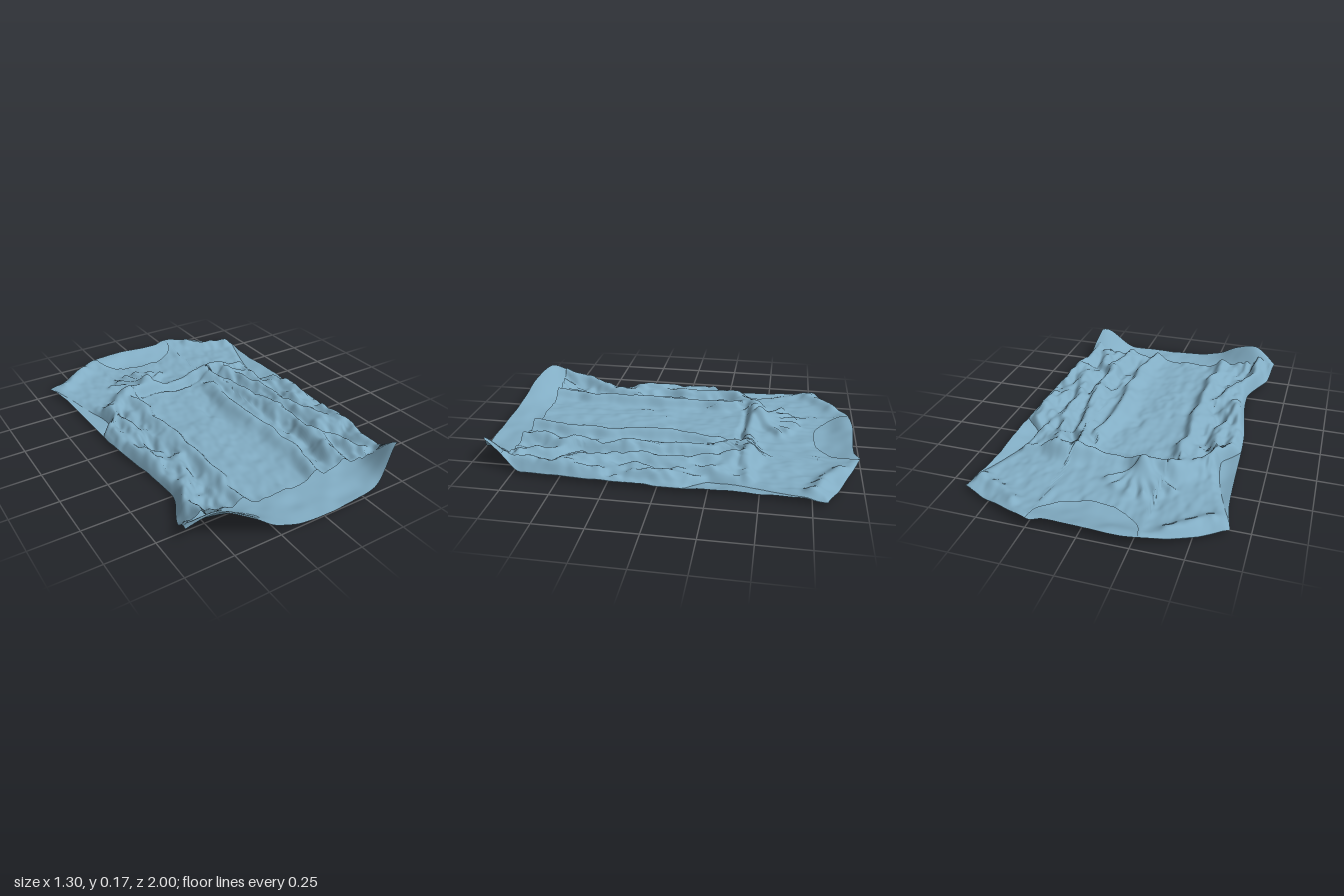
import * as THREE from 'three';

const { clamp, lerp, smoothstep } = THREE.MathUtils;
const bump = (t, width) => Math.exp(-((t / width) ** 2));

// Smooth curve through a few [position, value] pairs
function profile(points) {
  const n = points.length;
  const slope = (i) => {
    const a = points[Math.max(i - 1, 0)], b = points[Math.min(i + 1, n - 1)];
    return (b[1] - a[1]) / (b[0] - a[0]);
  };
  return (at) => {
    const t = clamp(at, points[0][0], points[n - 1][0]);
    let i = 0;
    while (i < n - 2 && t > points[i + 1][0]) i++;
    const [x0, y0] = points[i], [x1, y1] = points[i + 1], d = x1 - x0, k = (t - x0) / d;
    const ease = k * k * (3 - 2 * k);
    return lerp(y0, y1, ease) + d * k * (1 - k) * (slope(i) * (1 - k) - slope(i + 1) * k);
  };
}

// Seeded value noise for cloth wrinkles
function hash(i, j) {
  const s = Math.sin(i * 127.1 + j * 311.7) * 43758.5453;
  return s - Math.floor(s);
}
function noise(x, z) {
  const i = Math.floor(x), j = Math.floor(z), a = smoothstep(x - i, 0, 1), b = smoothstep(z - j, 0, 1);
  return lerp(lerp(hash(i, j), hash(i + 1, j), a), lerp(hash(i, j + 1), hash(i + 1, j + 1), a), b) - 0.5;
}

// Outlines: side edges by z, shoulder and hem edges by x
const backLeft = profile([[-0.78, -0.655], [-0.6, -0.62], [0, -0.59], [0.5, -0.53], [0.7, -0.615], [0.83, -0.645]]);
const backRight = profile([[-0.82, 0.65], [-0.6, 0.625], [0, 0.63], [0.6, 0.6], [0.9, 0.54]]);
const backTop = profile([[-0.655, -0.78], [-0.28, -0.97], [0.17, -0.97], [0.24, -0.995], [0.65, -0.82]]);
const backHem = profile([[-0.645, 0.83], [-0.35, 0.965], [-0.15, 1], [0.1, 1], [0.35, 0.975], [0.56, 0.89]]);

// The front panel is cut in at the armholes and scooped at the neck
const armhole = (z) => 0.09 * smoothstep(z, -0.8, -0.25) * (1 - smoothstep(z, -0.25, -0.12));
const frontLeft = (z) => backLeft(z) + armhole(z);
const frontRight = (z) => backRight(z) - 1.2 * armhole(z);
const inNeck = (x) => Math.abs(x + 0.015) < 0.26;
const frontTop = (x) => (inNeck(x) ? -0.97 + 0.205 * Math.sqrt(1 - ((x + 0.015) / 0.26) ** 2) : backTop(x));
const frontHem = (x) => 0.79 + 0.02 * smoothstep(Math.abs(x), 0.3, 0.6);

// Back panel: almost flat, with both hem corners curling up
function backHeight(x, z) {
  const corners = 0.16 * bump(x + 0.51, x < -0.51 ? 0.14 : 0.22) + 0.155 * bump(x - 0.53, 0.12);
  const curl = corners * smoothstep(z, 0.7, backHem(x) + 0.01);
  const neck = 0.045 * smoothstep(-z, 0.82, 1);
  const sides = 0.02 * smoothstep(Math.abs(x), 0.52, 0.64);
  return 0.009 + curl + neck + sides + 0.012 * noise(x * 14, z * 14);
}

// Long pleats: x and z at the upper end, x and z at the lower end, height
const pleats = [
  [-0.31, -0.3, -0.3, 0.79, 0.06],
  [-0.46, -0.3, -0.48, 0.3, 0.05],
  [-0.38, 0.3, -0.55, 0.76, 0.045],
  [0.16, -0.25, 0.14, 0.79, 0.065],
  [0.23, -0.38, 0.34, 0.2, 0.065],
  [0.34, 0.2, 0.31, 0.78, 0.065],
  [0.36, -0.35, 0.5, 0.5, 0.05],
  [0.36, 0.5, 0.46, 0.74, 0.05],
];
const folds = pleats.map((p) => [...p, 0.05, 0.03]);
// Gathers fanning up into the bodice from the waist seam
for (let i = 0; i < 6; i++) {
  const a = -0.9 + i * 0.36;
  folds.push([-0.17, -0.46, -0.17 + 0.22 * Math.sin(a), -0.46 - 0.2 * Math.cos(a), 0.03, 0.025, 0.025]);
}
// Bunched cloth at the seam, side rolls and shoulder rolls
for (const s of [-1, 1]) {
  folds.push([s * 0.22 - 0.08, -0.42, s * 0.22 + 0.08, -0.42, 0.055, 0.06, 0.06]);
  folds.push([s * 0.3, -0.42, s * 0.5, -0.29, 0.04, 0.05, 0.05]);
  folds.push([s * 0.56, -0.2, s * 0.54, 0.72, 0.04, 0.04, 0.04]);
  folds.push([s * 0.57, -0.75, s * 0.38, -0.88, 0.035, 0.04, 0.04]);
}
folds.push([-0.27, -0.42, 0.48, -0.43, 0.03, 0.03, 0.03]);

function foldHeight(x, z, [x0, z0, x1, z1, height, widthLeft, widthRight]) {
  const dx = x1 - x0, dz = z1 - z0;
  const t = clamp(((x - x0) * dx + (z - z0) * dz) / (dx * dx + dz * dz), 0, 1);
  const ex = x - x0 - t * dx, ez = z - z0 - t * dz;
  return height * bump(Math.hypot(ex, ez), ex < 0 ? widthLeft : widthRight);
}

// Front panel: bodice, waist seam and pleats, closed at sides and shoulders
function frontHeight(x, z) {
  const wx = x + 0.05 * noise(x * 7 + 3, z * 9), wz = z + 0.03 * noise(x * 8, z * 8 + 5);
  const skirt = smoothstep(z, -0.45, -0.38);
  let h = 0.022 + 0.012 * skirt;
  for (const fold of folds) h += foldHeight(wx, wz, fold);
  const busy = 0.25 + smoothstep(Math.abs(x + 0.06), 0.18, 0.4) * skirt;
  h += busy * (0.035 * noise(x * 26, z * 9) + 0.02 * noise(x * 40, z * 24)) + 0.006 * noise(x * 20, z * 20);
  // Crease just under the waist seam
  h -= 0.03 * bump(z + 0.375 + 0.02 * noise(x * 9, 2), 0.018) * smoothstep(0.4 - Math.abs(x - 0.05), 0, 0.1);
  h = 0.13 * Math.tanh(Math.max(h, 0.008) / 0.13);
  const side = Math.min(x - frontLeft(z), frontRight(z) - x);
  const shoulder = inNeck(x) ? 1 : z - backTop(x);
  const edge = clamp(Math.min(side, shoulder) / 0.05, 0, 1);
  return backHeight(x, z) * (1 - 0.3 * edge) + 0.002 + h * (1 - (1 - edge) ** 2);
}

// Cloth sheet spanning four edge functions, raised by a height rule
function sheet(name, cols, rows, [left, right, top, hem], height, material) {
  const geometry = new THREE.PlaneGeometry(1, 1, cols, rows).rotateX(-Math.PI / 2);
  const p = geometry.attributes.position;
  for (let i = 0; i < p.count; i++) {
    const u = p.getX(i) + 0.5, v = p.getZ(i) + 0.5;
    let x = lerp(-0.645, 0.645, u), z = 0;
    // Settle x and z so that both pairs of edges are met
    for (let k = 0; k < 4; k++) {
      z = lerp(top(x), hem(x), v);
      x = lerp(left(z), right(z), u);
    }
    p.setXYZ(i, x, Math.max(height(x, z), 0), z);
  }
  geometry.computeVertexNormals();
  const mesh = new THREE.Mesh(geometry, material);
  mesh.name = name;
  return mesh;
}

export function createModel() {
  const group = new THREE.Group();
  group.name = 'sleevelessTop';
  const cloth = new THREE.MeshStandardMaterial({ color: 0x82adc4, side: THREE.DoubleSide });
  group.add(sheet('backPanel', 80, 110, [backLeft, backRight, backTop, backHem], backHeight, cloth));
  group.add(sheet('frontPanel', 150, 170, [frontLeft, frontRight, frontTop, frontHem], frontHeight, cloth));
  return group;
}
